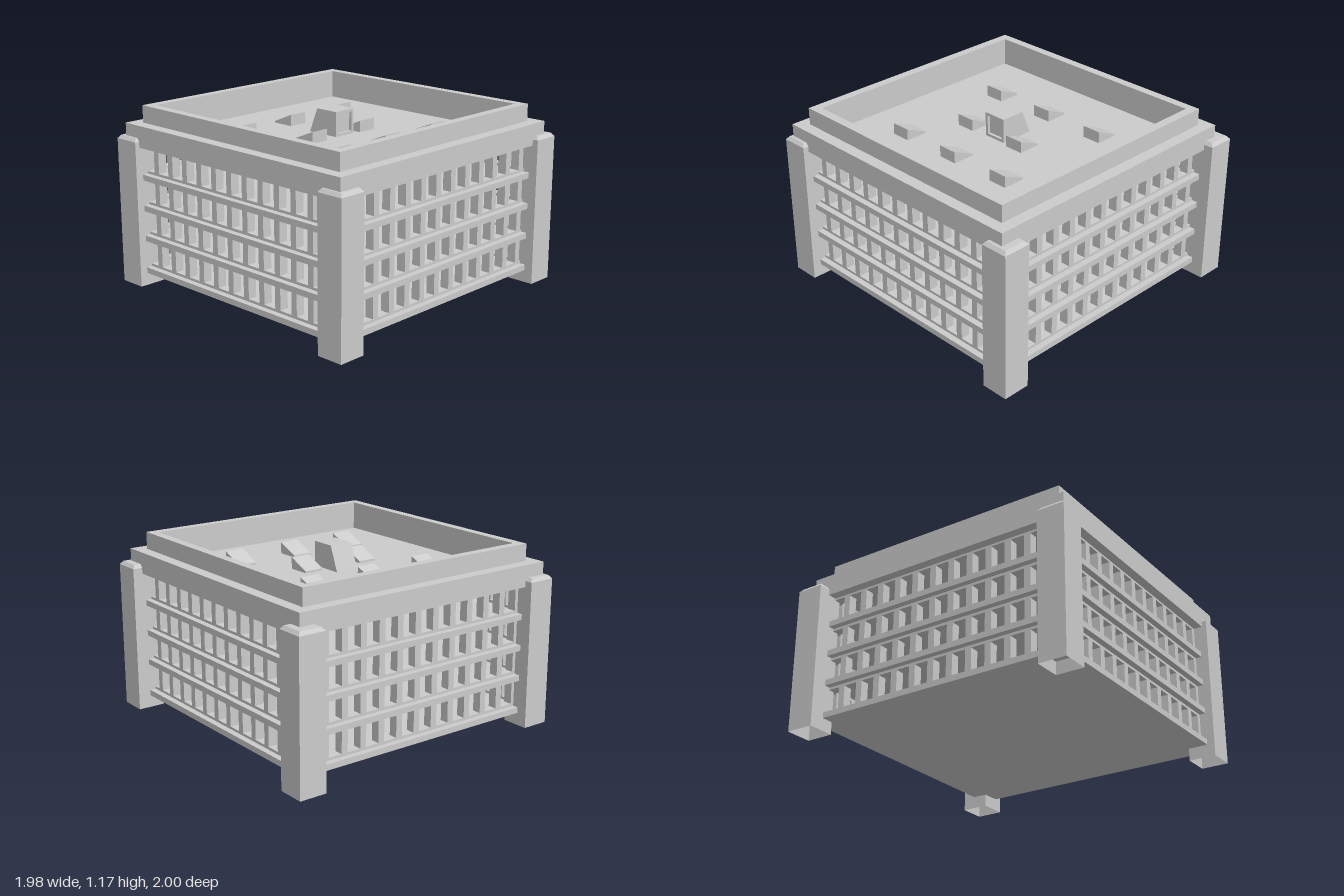
import * as THREE from 'three';

const CX = -0.02, CZ = 0.02; // centre of the body
const grey = new THREE.MeshStandardMaterial({ color: 0xcccccc, flatShading: true });
const greyOpen = new THREE.MeshStandardMaterial({ color: 0xcccccc, flatShading: true, side: THREE.DoubleSide });

function add(parent, name, geometry, x = 0, y = 0, z = 0, material = grey) {
  const mesh = new THREE.Mesh(geometry, material);
  mesh.name = name;
  mesh.position.set(x, y, z);
  parent.add(mesh);
  return mesh;
}

// Square slab between two heights, centred on the body
function slab(parent, name, half, y0, y1) {
  return add(parent, name, new THREE.BoxGeometry(half * 2, y1 - y0, half * 2), CX, (y0 + y1) / 2, CZ);
}

function rect(w, h, Type = THREE.Shape) {
  return new Type([[-w, -h], [w, -h], [w, h], [-w, h]].map(([x, y]) => new THREE.Vector2(x, y)));
}

// Square ring between two heights
function ring(parent, name, outer, inner, y0, y1) {
  const shape = rect(outer, outer);
  shape.holes.push(rect(inner, inner, THREE.Path));
  const geo = new THREE.ExtrudeGeometry(shape, { depth: y1 - y0, bevelEnabled: false });
  geo.rotateX(-Math.PI / 2);
  return add(parent, name, geo, CX, y0, CZ);
}

// Side profile of [z, y] points given a width along x
function profile(points, width) {
  const shape = new THREE.Shape(points.map(([z, y]) => new THREE.Vector2(z, y)));
  const geo = new THREE.ExtrudeGeometry(shape, { depth: width, bevelEnabled: false });
  geo.translate(0, 0, -width / 2);
  return geo.rotateY(-Math.PI / 2);
}

export function createModel() {
  const model = new THREE.Group();
  model.name = 'building';

  // Corner pillars: square, chamfered at the top, open underneath
  const r = 0.091 * Math.SQRT2;
  const pillarGeo = new THREE.LatheGeometry(
    [[r, 0], [r, 0.96], [r * 0.8, 0.982], [0, 0.982]].map(([x, y]) => new THREE.Vector2(x, y)), 4, Math.PI / 4);
  for (const [x, z] of [[-0.9, 0.907], [0.893, 0.907], [-0.9, -0.88], [0.893, -0.91]])
    add(model, 'cornerPillar', pillarGeo, x, 0, z, greyOpen);

  // Storeys: floor slab, sill, posts and head rail
  const floorTops = [0.12, 0.337, 0.538, 0.742];
  const pitch = 0.137, count = 12, wall = 0.85;
  floorTops.forEach((top, i) => {
    const storey = new THREE.Group();
    storey.name = 'storey' + (i + 1);
    model.add(storey);
    const ceiling = i < 3 ? floorTops[i + 1] - 0.038 : 0.925;
    slab(storey, 'floorSlab', 0.92, top - 0.038, top);
    ring(storey, 'sill', wall + 0.03, wall - 0.03, top, top + 0.017);
    ring(storey, 'headRail', wall + 0.03, wall - 0.03, ceiling - 0.017, ceiling);
    const postGeo = new THREE.BoxGeometry(0.044, ceiling - top, 0.06);
    for (let side = 0; side < 4; side++) {
      const face = new THREE.Group();
      face.name = 'postRow';
      face.position.set(CX, 0, CZ);
      face.rotation.y = side * Math.PI / 2;
      storey.add(face);
      // posts of opposite walls fall half a step apart
      for (let k = 0; k < count; k++)
        add(face, 'post', postGeo, (k - (count - 1) / 2 + 0.25) * pitch, (top + ceiling) / 2, wall);
    }
  });

  // Roof: deck, stepped cornice and parapet
  slab(model, 'roofDeck', 0.94, 0.922, 0.99);
  ring(model, 'cornice', 0.94, 0.803, 0.99, 1.063);
  ring(model, 'parapet', 0.862, 0.803, 1.063, 1.175);

  // Wedge-shaped roof vents, high at the front
  const deck = 0.99;
  const ventGeo = profile([[-0.075, 0], [0.075, 0], [0.075, 0.075], [-0.075, 0.012]], 0.13);
  for (const z of [-0.395, 0.425])
    for (const x of [-0.455, -0.02, 0.413]) add(model, 'roofVent', ventGeo, x, deck, z);
  for (const x of [-0.265, 0.165]) add(model, 'roofVent', ventGeo, x, deck, 0.045);

  // Stair house with a sloping back and a framed doorway
  const stair = new THREE.Group();
  stair.name = 'stairHouse';
  stair.position.set(-0.02, deck, 0);
  model.add(stair);
  add(stair, 'stairHouseBody', profile([[-0.13, 0], [0.08, 0], [0.08, 0.16], [-0.065, 0.16]], 0.16));
  const frame = rect(0.08, 0.08);
  frame.holes.push(rect(0.062, 0.062, THREE.Path));
  add(stair, 'doorFrame', new THREE.ExtrudeGeometry(frame, { depth: 0.02, bevelEnabled: false }), 0, 0.08, 0.08);

  return model;
}
